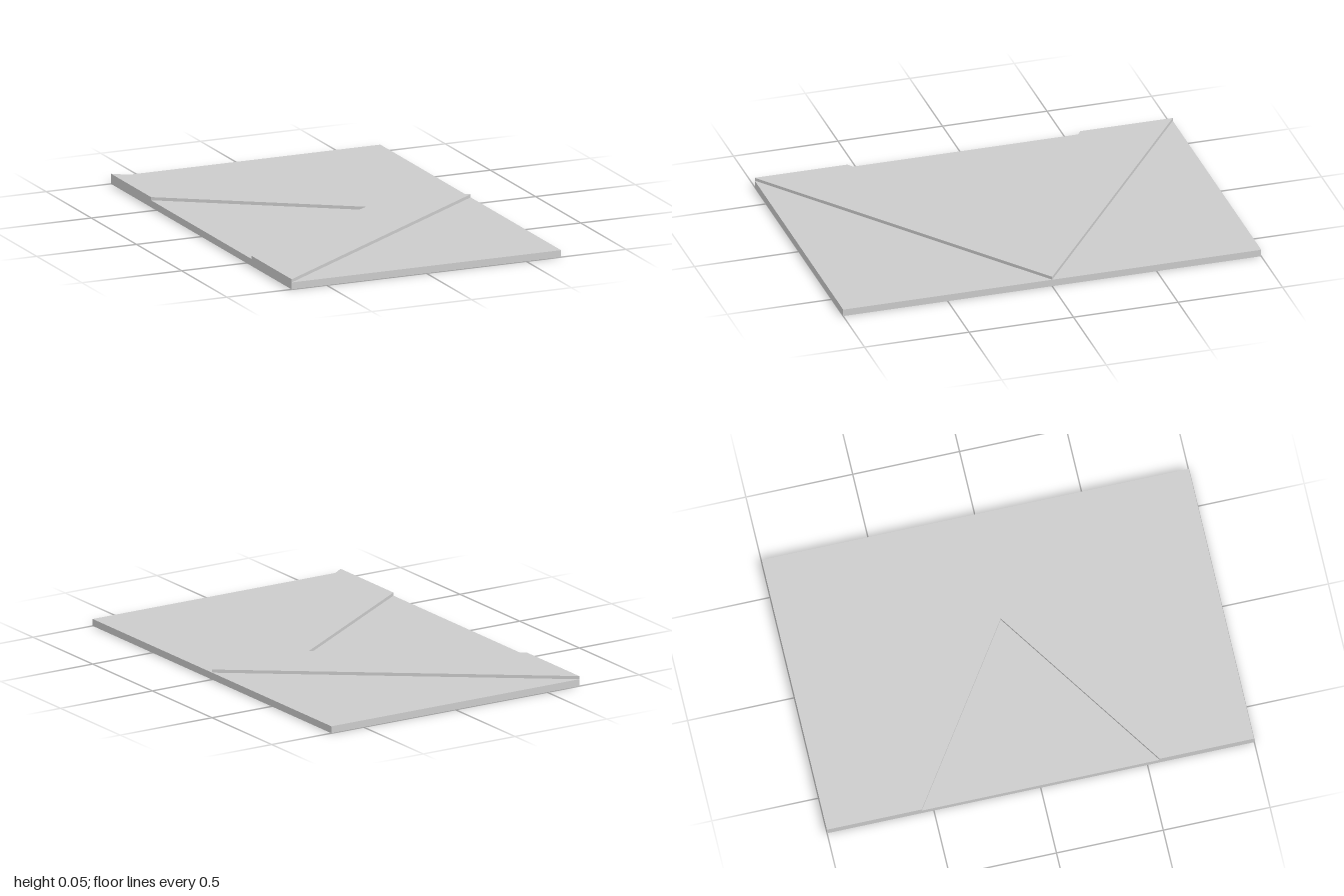
import * as THREE from 'three';

const W = 0.675, L = 1, LOW = 0.033, HIGH = 0.048;
const INNER_X = 0.15, INNER_Z = 0.557;

const material = new THREE.MeshStandardMaterial({ color: 0xcccccc, side: THREE.DoubleSide, flatShading: true });

// Flat horizontal panel from [x, z] corners at height y
function panel(name, corners, y) {
  const shape = new THREE.Shape(corners.map(([x, z]) => new THREE.Vector2(x, -z)));
  const mesh = new THREE.Mesh(new THREE.ShapeGeometry(shape).rotateX(-Math.PI / 2), material);
  mesh.position.y = y;
  mesh.name = name;
  return mesh;
}

// Thin upright wall between two [x, z] points
function wall(name, [x0, z0], [x1, z1], bottom, top) {
  const geometry = new THREE.PlaneGeometry(Math.hypot(x1 - x0, z1 - z0), top - bottom);
  const mesh = new THREE.Mesh(geometry, material);
  mesh.position.set((x0 + x1) / 2, (bottom + top) / 2, (z0 + z1) / 2);
  mesh.rotation.y = -Math.atan2(z1 - z0, x1 - x0);
  mesh.name = name;
  return mesh;
}

export function createModel() {
  const group = new THREE.Group();
  group.name = 'chevronPanel';
  const tip = [W, 0], notch = [INNER_X, 0];

  // Raised chevron and the low field inside its notch
  group.add(
    panel('raisedChevron', [[-W, L], tip, [-W, -L], [-W, -INNER_Z], notch, [-W, INNER_Z]], HIGH),
    panel('innerField', [[-W, INNER_Z], notch, [-W, -INNER_Z]], LOW),
    wall('innerRim', [-W, INNER_Z], [-W, -INNER_Z], 0, LOW),
  );

  // Mirrored halves: outer fields, step walls and the skirt, open underneath
  for (const s of [1, -1]) {
    const corner = [-W, s * L], far = [W, s * L], inner = [-W, s * INNER_Z];
    group.add(
      panel('outerField', [corner, far, tip], LOW),
      wall('outerStep', corner, tip, LOW, HIGH),
      wall('innerStep', inner, notch, LOW, HIGH),
      wall('endRim', far, corner, 0, LOW),
      wall('tipSideRim', tip, far, 0, LOW),
      wall('chevronEndRim', corner, inner, 0, HIGH),
    );
  }
  return group;
}
